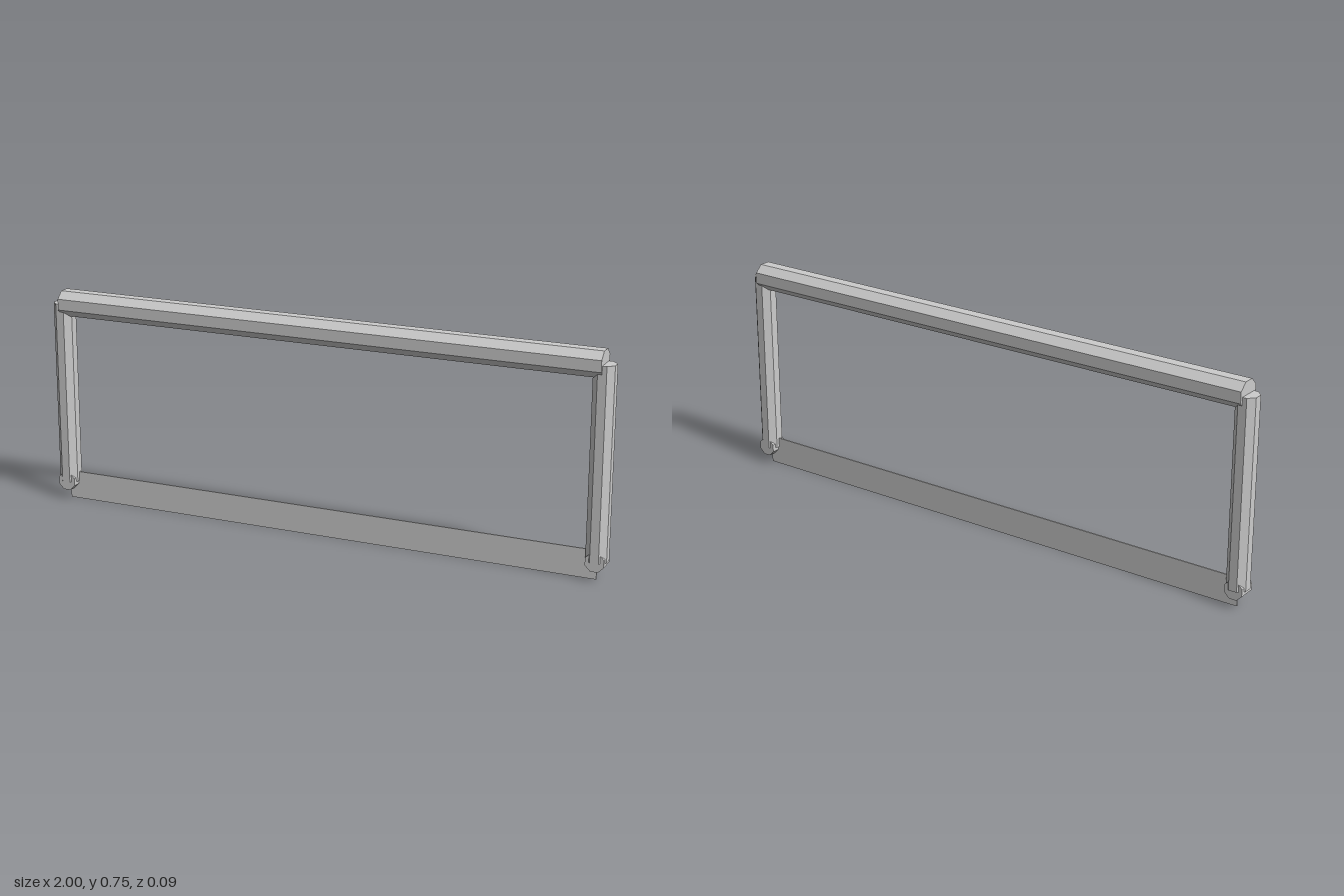
import * as THREE from 'three';

// Flat-sided octagonal prism, centred, running along z
function octagonBar(halfW, halfH, flat, length) {
  const shape = new THREE.Shape([
    [halfW, -flat], [halfW, flat], [flat, halfH], [-flat, halfH],
    [-halfW, flat], [-halfW, -flat], [-flat, -halfH], [flat, -halfH],
  ].map(([x, y]) => new THREE.Vector2(x, y)));
  const geo = new THREE.ExtrudeGeometry(shape, { depth: length, bevelEnabled: false });
  return geo.translate(0, 0, -length / 2);
}

export function createModel() {
  const model = new THREE.Group();
  model.name = 'sawFrame';
  const steel = new THREE.MeshStandardMaterial({ color: 0xcccccc });
  steel.name = 'grey steel';

  const add = (name, geo, x, y, z) => {
    const mesh = new THREE.Mesh(geo, steel);
    mesh.name = name;
    mesh.position.set(x, y, z);
    model.add(mesh);
  };

  // Long top bar along x
  add('topBar', octagonBar(0.0445, 0.0435, 0.019, 1.93).rotateY(Math.PI / 2), 0, 0.7085, 0);

  // Thin blade between the posts
  add('blade', new THREE.BoxGeometry(1.93, 0.098, 0.005), 0, 0.049, 0);

  // Upright posts with a cross pin at the foot of each
  for (const [side, s] of [['left', 1], ['right', -1]]) {
    add(side + 'Post', octagonBar(0.035, 0.035, 0.0145, 0.643).rotateX(Math.PI / 2), s * 0.965, 0.3865, 0);
    add(side + 'BladePin', octagonBar(0.031, 0.031, 0.0128, 0.062), s * 0.965, 0.066, 0);
  }
  return model;
}
